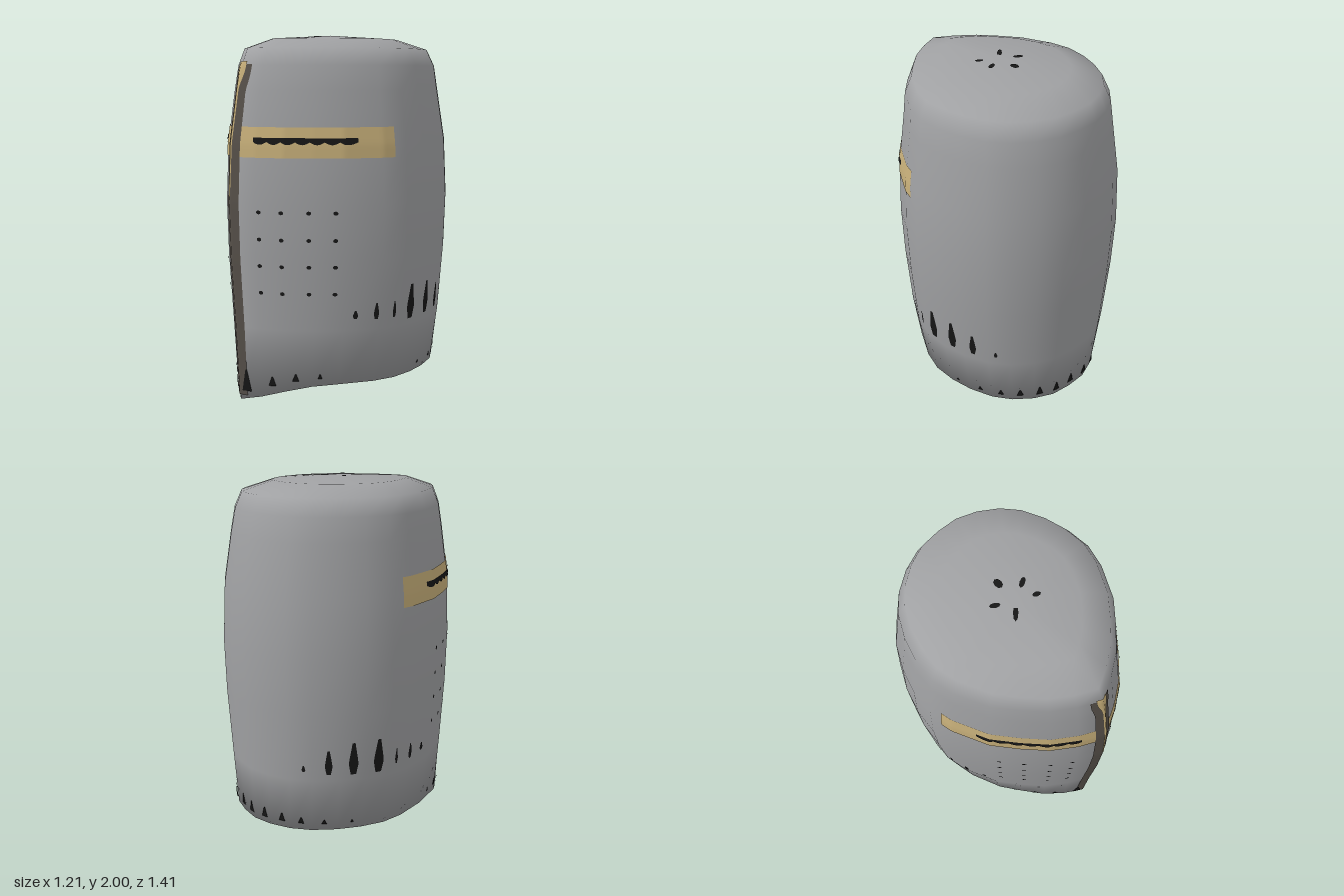
import * as THREE from 'three';

const flat = (name, color) => {
  const m = new THREE.MeshStandardMaterial({ color, side: THREE.DoubleSide });
  m.name = name;
  return m;
};

// Half of the teardrop outline [x, z], from the front ridge round the left side to the back
const OUTLINE = [
  [0, 0.70], [0.13, 0.635], [0.26, 0.545], [0.37, 0.43], [0.475, 0.305], [0.57, 0.11], [0.603, -0.03],
  [0.59, -0.18], [0.55, -0.32], [0.48, -0.46], [0.39, -0.56], [0.27, -0.64], [0.14, -0.69], [0, -0.70],
];
const BACK = OUTLINE.length - 1;
// Height of the lower rim along that outline; it dips at the front
const RIM = [0, 0.03, 0.07, 0.098, 0.11];
// Wall profile: [height, width scale, depth scale]; the first height is replaced by the rim
const PROFILE = [
  [0.11, 0.85, 0.93], [0.42, 0.935, 0.957], [0.8, 0.985, 0.99], [1.1, 1, 1], [1.42, 0.975, 0.977],
  [1.7, 0.905, 0.913], [1.83, 0.885, 0.875], [1.92, 0.81, 0.82], [1.975, 0.56, 0.57],
];

const lerp = THREE.MathUtils.lerp;
const rimAt = (t) => {
  const i = Math.floor(t);
  return i >= 4 ? 0.11 : lerp(RIM[i], RIM[i + 1], t - i);
};

// Point on the wall: t runs along the outline (negative on the right side), y is the height
function wall(t, y, grow = 1) {
  const a = Math.min(Math.abs(t), BACK * 2 - Math.abs(t));
  const i = Math.min(Math.floor(a), BACK - 1);
  const x = lerp(OUTLINE[i][0], OUTLINE[i + 1][0], a - i);
  const z = lerp(OUTLINE[i][1], OUTLINE[i + 1][1], a - i);
  let r = 0;
  while (r < PROFILE.length - 2 && y > PROFILE[r + 1][0]) r++;
  const [p, q] = [PROFILE[r], PROFILE[r + 1]];
  const low = r === 0 ? rimAt(a) : p[0];
  const f = (y - low) / (q[0] - low);
  const side = (t < 0) !== (Math.abs(t) > BACK) ? -1 : 1;
  return [side * x * lerp(p[1], q[1], f) * grow, y, z * lerp(p[2], q[2], f) * grow];
}

// Outline position at depth z
function tAt(z) {
  let i = 0;
  while (i < BACK - 1 && OUTLINE[i + 1][1] > z) i++;
  return i + (OUTLINE[i][1] - z) / (OUTLINE[i][1] - OUTLINE[i + 1][1]);
}

// Indexed grid of nx by ny cells from a point rule
function grid(nx, ny, rule) {
  const pos = [], idx = [];
  for (let j = 0; j <= ny; j++) for (let i = 0; i <= nx; i++) pos.push(...rule(i / nx, j / ny));
  for (let j = 0; j < ny; j++) for (let i = 0; i < nx; i++) {
    const a = j * (nx + 1) + i, b = a + nx + 1;
    idx.push(a, a + 1, b + 1, a, b + 1, b);
  }
  const g = new THREE.BufferGeometry();
  g.setAttribute('position', new THREE.Float32BufferAttribute(pos, 3));
  g.setIndex(idx);
  g.computeVertexNormals();
  return g;
}

// Closed shell: rings up the wall, then a fan to the crown
function shellGeometry() {
  const n = BACK * 2, pos = [], idx = [];
  PROFILE.forEach(([y], r) => {
    for (let j = 0; j < n; j++) pos.push(...wall(j, r ? y : rimAt(Math.min(j, n - j))));
  });
  pos.push(0, 2, 0);
  const top = PROFILE.length * n;
  for (let r = 0; r < PROFILE.length; r++) for (let j = 0; j < n; j++) {
    const a = r * n + j, b = r * n + ((j + 1) % n);
    if (r === PROFILE.length - 1) idx.push(a, b, top);
    else idx.push(a, b, b + n, a, b + n, a + n);
  }
  const g = new THREE.BufferGeometry();
  g.setAttribute('position', new THREE.Float32BufferAttribute(pos, 3));
  g.setIndex(idx);
  g.computeVertexNormals();
  // The rim rolls under, so its normals turn down
  const nor = g.attributes.normal, v = new THREE.Vector3();
  for (let j = 0; j < n; j++) {
    v.fromBufferAttribute(nor, j).multiplyScalar(0.3);
    v.y -= 1;
    v.normalize();
    nor.setXYZ(j, v.x, v.y, v.z);
  }
  return g;
}

export function createModel() {
  const model = new THREE.Group();
  model.name = 'helmet';
  const steel = flat('steel', 0xa0a1a3);
  const brass = flat('brass', 0xc8b07a);
  const darkBronze = flat('dark bronze', 0x57514a);
  const black = flat('black', 0x161616);

  const add = (name, geometry, material) => {
    const m = new THREE.Mesh(geometry, material);
    m.name = name;
    model.add(m);
    return m;
  };

  add('shell', shellGeometry(), steel);

  // Painted patch on the wall, both outside and inside; rule gives [t, y]
  const paint = (name, material, lift, nx, ny, rule) => {
    for (const grow of [1 + lift, 1 - lift]) {
      add(name, grid(nx, ny, (a, b) => wall(...rule(a, b), grow)), material);
    }
  };
  // Upright mark centred at t; width(b) shapes it from bottom to top
  const mark = (name, t, y0, y1, w, width, lift = 0.007) => {
    for (const s of [1, -1]) {
      paint(name, black, lift, 2, 6, (a, b) =>
        [s * t + (a - 0.5) * (w / 0.15) * width(b), lerp(y0, y1, b)]);
    }
  };
  const round = (b) => Math.sqrt(Math.max(0, 1 - (2 * b - 1) ** 2));
  const drop = (b) => (b < 0.35 ? 0.55 + b * 1.28 : 1 - (b - 0.35) * 1.1);
  const spike = (b) => 1 - 0.85 * b;

  // Brow band and eye slits on each side
  for (const s of [1, -1]) {
    const y = (a) => 1.433 - 0.014 * Math.abs(Math.sin(a * Math.PI * 7));
    paint('browBand', brass, 0.007, 60, 8, (a, b) => [s * lerp(0.36, 5.49, a), lerp(1.35, 1.51, b)]);
    paint('eyeSlit', black, 0.013, 70, 2, (a, b) => [s * lerp(0.92, 4.35, a), lerp(y(a), 1.455, b)]);
  }

  // Front ridge strip, flared at the top, with a tapering brass inlay
  paint('ridgeStrip', darkBronze, 0.009, 8, 60, (a, b) => {
    const y = lerp(0.03, 1.835, b);
    return [(2 * a - 1) * (0.38 + 0.12 * THREE.MathUtils.smoothstep(y, 1.68, 1.8)), y];
  });
  paint('ridgeInlay', brass, 0.014, 4, 40, (a, b) => {
    const y = lerp(1.14, 1.85, b);
    return [(2 * a - 1) * (0.04 + 0.05 * b + 0.17 * THREE.MathUtils.smoothstep(y, 1.7, 1.82)), y];
  });

  // Breathing holes: four columns and four rows per cheek
  for (const t of [1.15, 1.93, 2.85, 3.72]) {
    for (const y of [0.625, 0.773, 0.917, 1.063]) mark('breathHole', t, y - 0.011, y + 0.011, 0.024, round);
  }

  // Side vents: [z, bottom, top, width]
  for (const [z, y0, y1, w] of [
    [0.23, 0.485, 0.53, 0.022], [0.125, 0.475, 0.565, 0.022], [0.02, 0.475, 0.565, 0.022],
    [-0.095, 0.45, 0.645, 0.062], [-0.235, 0.455, 0.64, 0.058], [-0.36, 0.46, 0.6, 0.042], [-0.475, 0.475, 0.51, 0.025],
  ]) mark('sideVent', tAt(z / 0.96), y0, y1, w, drop);

  // Marks along the rim: [t, bottom, top, width]
  for (const [t, y0, y1, w] of [
    [0.38, 0.055, 0.18, 0.065], [1.5, 0.1, 0.152, 0.045], [2.4, 0.13, 0.172, 0.04], [3.3, 0.145, 0.172, 0.025],
    [7.4, 0.152, 0.168, 0.02], [8.5, 0.152, 0.176, 0.03], [9.45, 0.153, 0.19, 0.04],
    [10.35, 0.153, 0.2, 0.045], [11.25, 0.15, 0.21, 0.05], [12.1, 0.15, 0.215, 0.05],
  ]) mark('rimMark', t, y0, y1, w, spike, 0.014);
  paint('backRimMark', black, 0.007, 2, 6, (a, b) => [BACK + (a - 0.5) * 0.35 * spike(b), lerp(0.15, 0.215, b)]);

  // Ring of small slots on the crown: [x, z, half length, half width]
  for (const [x, z, l, w] of [
    [0, -0.125, 0.028, 0.02], [0.09, -0.05, 0.03, 0.014], [0.098, 0.042, 0.022, 0.013],
    [-0.042, 0.045, 0.046, 0.013], [-0.09, -0.05, 0.028, 0.014],
  ]) {
    const g = new THREE.CircleGeometry(1, 8).scale(w, l, 1).rotateX(-Math.PI / 2);
    const slot = add('crownSlot', g, black);
    slot.rotation.y = Math.atan2(x, z);
    slot.position.set(x, 1.997, z);
  }
  return model;
}
